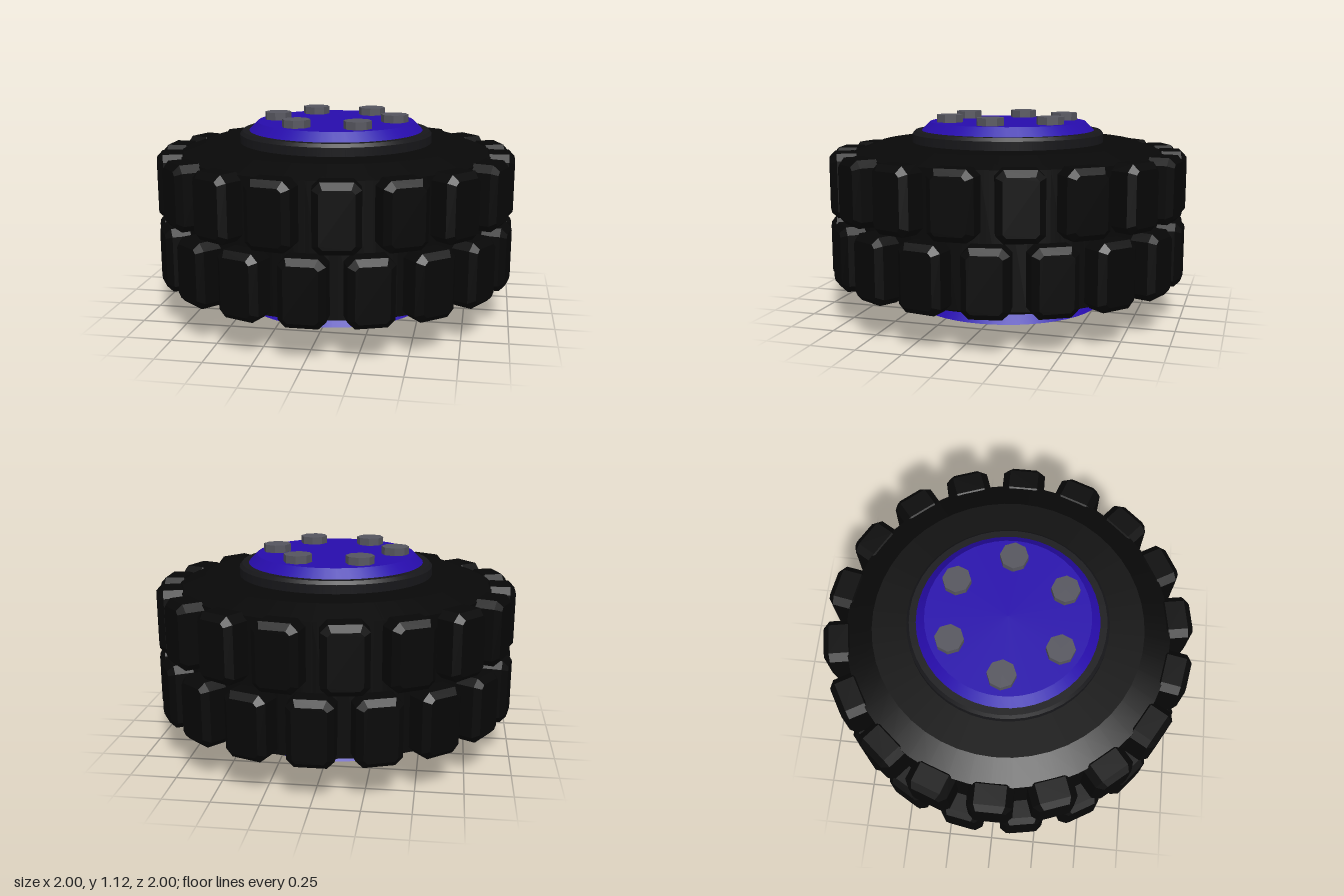
import * as THREE from 'three';

const mat = (color, flatShading = false) => {
  const m = new THREE.MeshStandardMaterial({ flatShading });
  m.color.set(color);
  return m;
};
const rubber = mat(0x070707, true);
const rubberSmooth = mat(0x080808);
const darkMetal = mat(0x17171a);
const paint = mat(0x270cac);
const steel = mat(0x55555e, true);

// Revolved solid whose profile corners stay sharp: points are [radius, y], bottom to top
function turned(name, points, material) {
  const group = new THREE.Group();
  group.name = name;
  for (let i = 0; i < points.length - 1; i++) {
    const pair = [points[i], points[i + 1]].map(([r, y]) => new THREE.Vector2(r, y));
    const band = new THREE.Mesh(new THREE.LatheGeometry(pair, 48), material);
    band.name = name + 'Band';
    group.add(band);
  }
  return group;
}

// Box with every edge chamfered by c, centred on the origin
function chamferedBox(w, h, d, c) {
  const x = w / 2 - c;
  const y = h / 2 - c;
  const k = c * 0.6;
  const outline = [
    [x - k, -y], [x, -y + k], [x, y - k], [x - k, y],
    [-x + k, y], [-x, y - k], [-x, -y + k], [-x + k, -y],
  ].map(([px, py]) => new THREE.Vector2(px, py));
  return new THREE.ExtrudeGeometry(new THREE.Shape(outline), {
    depth: d - 2 * c, bevelEnabled: true, bevelSize: c, bevelThickness: c, bevelSegments: 1,
  }).center();
}

export function createModel() {
  const wheel = new THREE.Group();
  wheel.name = 'wheel';

  // Tyre carcass with sloped shoulders
  wheel.add(turned('tyreBody', [
    [0, 0.157], [0.73, 0.157], [0.875, 0.21], [0.875, 0.91], [0.73, 0.965], [0, 0.965],
  ], rubberSmooth));

  // Two rows of tread blocks, staggered by half a step
  const blocks = 18;
  const step = (Math.PI * 2) / blocks;
  const blockGeo = chamferedBox(0.238, 0.352, 0.17, 0.032);
  [['lowerTread', 0.376, 0], ['upperTread', 0.748, 0.5]].forEach(([name, y, shift]) => {
    const row = new THREE.Group();
    row.name = name;
    for (let i = 0; i < blocks; i++) {
      const a = (i + shift) * step;
      const block = new THREE.Mesh(blockGeo, rubber);
      block.name = 'treadBlock';
      block.position.set(Math.sin(a) * 0.915, y, Math.cos(a) * 0.915);
      block.rotation.y = a;
      row.add(block);
    }
    wheel.add(row);
  });

  // Hub: a bevelled core showing as a collar on each side
  wheel.add(turned('hubCollar', [
    [0, 0.095], [0.525, 0.095], [0.54, 0.112], [0.54, 1.012], [0.525, 1.03], [0, 1.03],
  ], darkMetal));

  // Tapered cover plates, both narrowing upward, with six bolts each
  const boltGeo = new THREE.CylinderGeometry(0.077, 0.077, 0.06, 8);
  [['lowerCover', 0.042, 0.03], ['upperCover', 0.978, 1.09]].forEach(([name, y, boltY]) => {
    wheel.add(turned(name, [[0, y], [0.54, y], [0.44, y + 0.1], [0, y + 0.1]], paint));
    for (let i = 0; i < 6; i++) {
      const a = (i * Math.PI) / 3;
      const bolt = new THREE.Mesh(boltGeo, steel);
      bolt.name = name + 'Bolt';
      bolt.position.set(Math.cos(a) * 0.333, boltY, Math.sin(a) * 0.333);
      wheel.add(bolt);
    }
  });

  return wheel;
}
